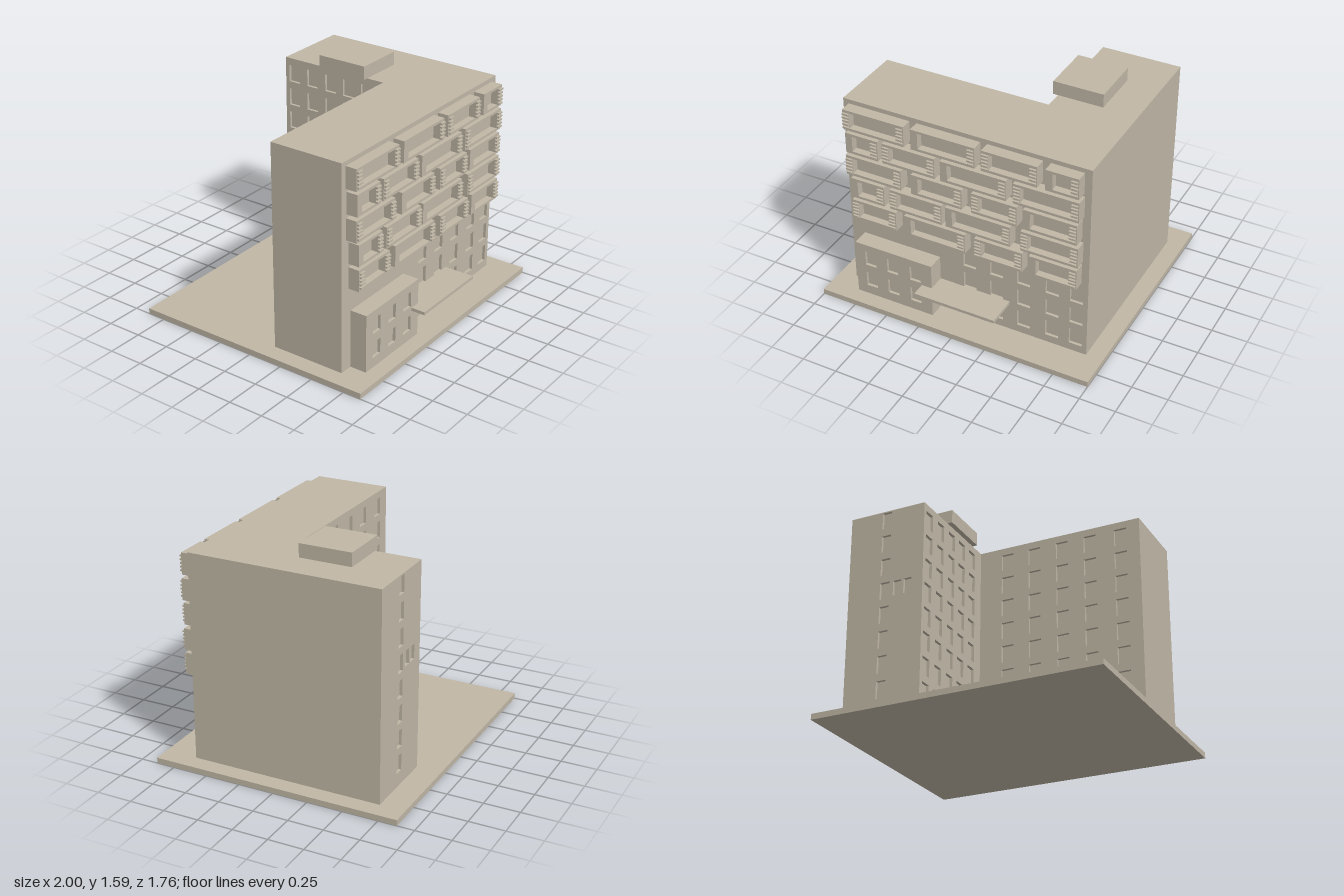
import * as THREE from 'three';

export function createModel() {
  const model = new THREE.Group();
  model.name = 'apartmentBuilding';
  const concrete = new THREE.MeshStandardMaterial({ color: 0xc0b7a6 });
  concrete.name = 'concrete';

  // Box given by its extents
  function box(name, x0, x1, y0, y1, z0, z1, parent = model) {
    const mesh = new THREE.Mesh(new THREE.BoxGeometry(x1 - x0, y1 - y0, z1 - z0), concrete);
    mesh.position.set((x0 + x1) / 2, (y0 + y1) / 2, (z0 + z1) / 2);
    mesh.name = name;
    parent.add(mesh);
    return mesh;
  }

  // Wall slab with rectangular holes [centreU, centreY, width, height]
  function panel(name, u0, u1, y0, y1, depth, holes, parent = model) {
    const rect = (target, a, b, c, d) => {
      target.moveTo(a, c);
      target.lineTo(b, c);
      target.lineTo(b, d);
      target.lineTo(a, d);
      target.closePath();
      return target;
    };
    const shape = rect(new THREE.Shape(), u0, u1, y0, y1);
    for (const [u, y, w, h] of holes) {
      shape.holes.push(rect(new THREE.Path(), u - w / 2, u + w / 2, y - h / 2, y + h / 2));
    }
    const geometry = new THREE.ExtrudeGeometry(shape, { depth, bevelEnabled: false });
    const mesh = new THREE.Mesh(geometry, concrete);
    mesh.name = name;
    parent.add(mesh);
    return mesh;
  }

  const grid = (columns, rows, w, h) => columns.flatMap(u => rows.map(y => [u, y, w, h]));
  const floors = Array.from({ length: 8 }, (_, i) => 0.158 + 0.175 * i);
  const BASE = 0.04, ROOF = 1.495, R = 0.02;

  // Ground slab, L-shaped body and roof hut
  box('groundSlab', -1, 1, 0, BASE, -0.88, 0.88);
  box('mainBlock', -0.88, 0.88, BASE, ROOF, 0.115 + R, 0.65 - R);
  box('rearWing', 0.32 + R, 0.88, BASE, ROOF, -0.705 + R, 0.115 + R);
  box('roofHut', 0.285, 0.64, ROOF, 1.59, -0.385, -0.015);

  // Front wall with lower windows
  panel('frontWall', -0.88, 0.88, BASE, ROOF, R,
    grid([0.025, 0.223, 0.422, 0.628, 0.8], floors.slice(0, 3), 0.094, 0.122)).position.z = 0.65 - R;

  // Rear wall of the main block (u runs along -x)
  const rear = panel('rearWall', -0.32 - R, 0.88, BASE, ROOF, R,
    grid([-0.11, 0.097, 0.306, 0.515, 0.74], floors, 0.09, 0.122));
  rear.rotation.y = Math.PI;
  rear.position.z = 0.115 + R;

  // Courtyard wall of the wing (u runs along z)
  const court = panel('courtyardWall', -0.705, 0.115, BASE, ROOF, R,
    grid([-0.63, -0.475, -0.32, -0.17, -0.02], floors, 0.09, 0.122));
  court.rotation.y = -Math.PI / 2;
  court.position.x = 0.32 + R;

  // End wall of the wing with stair windows
  const stairs = floors.map(y => [-0.604, y + 0.042, 0.07, 0.122]);
  const end = panel('wingEndWall', -0.88, -0.32 - R, BASE, ROOF, R,
    [...stairs, [-0.51, 0.905, 0.06, 0.105], [-0.432, 0.905, 0.06, 0.105]]);
  end.rotation.y = Math.PI;
  end.position.z = -0.705 + R;

  // Entrance block and canopy
  box('entranceBlock', -0.785, -0.2, BASE, 0.452, 0.65, 0.77 - R);
  panel('entranceWall', -0.785, -0.2, BASE, 0.452, R,
    grid([-0.67, -0.5, -0.325], [0.165, 0.34], 0.083, 0.11)).position.z = 0.77 - R;
  box('entranceCanopy', -0.275, 0.32, 0.25, 0.272, 0.65, 0.87);

  // Balconies: left and right edges per floor, top floor first
  const balconyRows = [
    [[-0.84, -0.39], [-0.338, 0.118], [0.165, 0.55], [0.604, 0.83]],
    [[-0.83, -0.59], [-0.555, -0.172], [-0.13, 0.336], [0.385, 0.835]],
    [[-0.837, -0.425], [-0.35, 0.02], [0.09, 0.411], [0.454, 0.825]],
    [[-0.81, -0.56], [-0.515, -0.13], [-0.103, 0.363], [0.438, 0.835]],
    [[-0.81, -0.478], [-0.415, 0.036], [0.106, 0.449], [0.497, 0.83]],
  ];
  balconyRows.forEach((row, r) => {
    const y = 1.389 - 0.1735 * r;
    row.forEach(([x0, x1], c) => {
      const balcony = new THREE.Group();
      balcony.name = 'balcony';
      model.add(balcony);
      box('balconyBack', x0, x1, y - 0.075, y + 0.075, 0.65, 0.68, balcony);
      panel('balconyFrame', x0, x1, y - 0.075, y + 0.075, 0.05,
        [[(x0 + x1) / 2, y, x1 - x0 - 0.098, 0.114]], balcony).position.z = 0.68;
      // Louvre slats on the right end, and on both ends of alternate balconies
      const ends = [x1 - 0.049];
      if ((r + c) % 2 === 0) ends.push(x0 + 0.005);
      for (const x of ends) {
        for (let i = -2; i <= 2; i++) {
          const sy = y + i * 0.025;
          box('slat', x, x + 0.044, sy - 0.006, sy + 0.006, 0.73, 0.745, balcony);
        }
      }
    });
  });

  return model;
}
